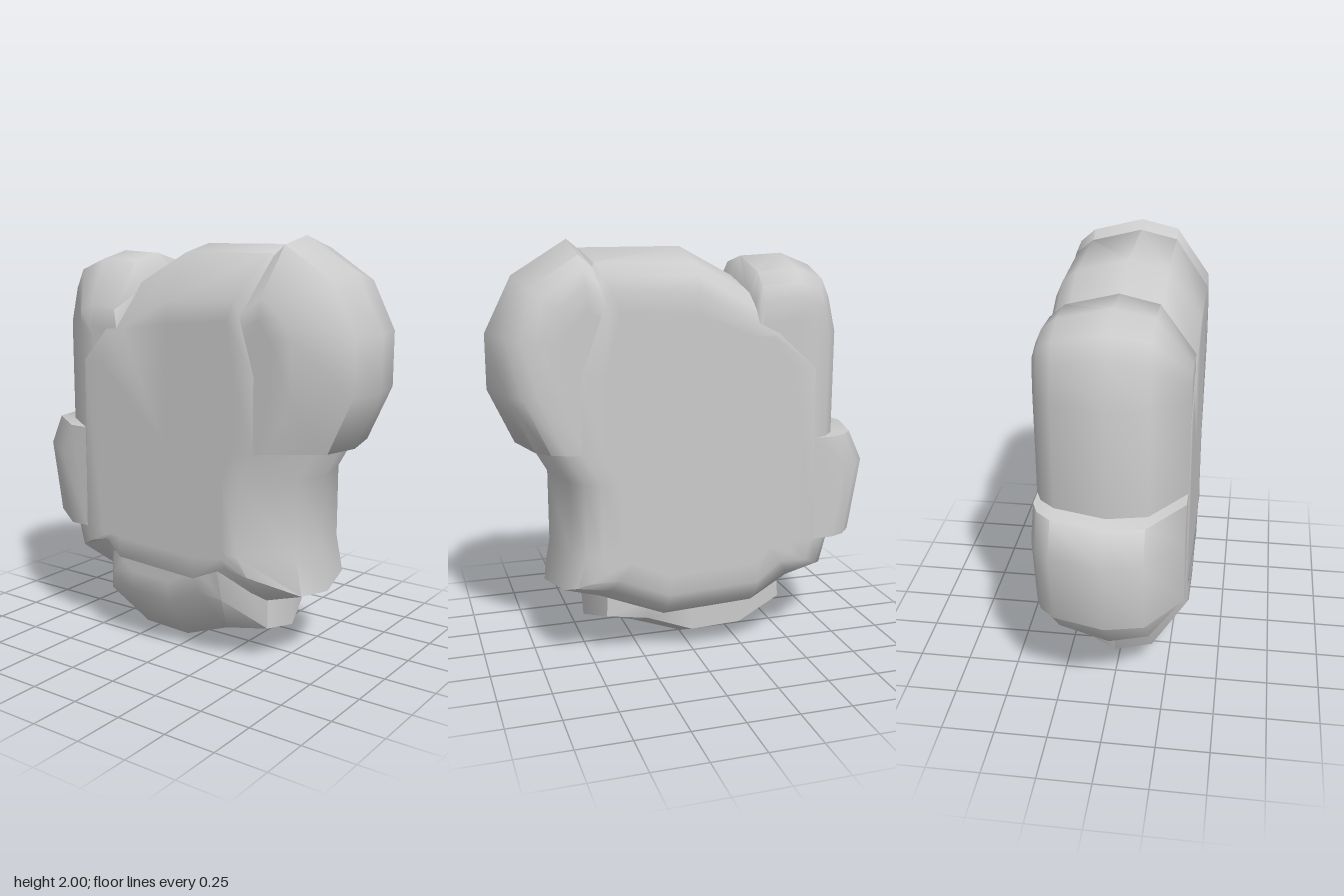
import * as THREE from 'three';
import { toCreasedNormals } from 'three/addons/utils/BufferGeometryUtils.js';

const material = new THREE.MeshStandardMaterial({ color: 0xcccccc });

// Rounded edge profile, front to back: [z, inset from the outline]
const FULL = [[0.34, 0.36], [0.34, 0.26], [0.18, 0.04], [0, 0], [-0.24, 0.06], [-0.31, 0.12], [-0.34, 0.19], [-0.34, 0.29]];
const SHORT = [[0.34, 0.36], [0.34, 0.26], [0.18, 0.04], [0, 0], [-0.225, 0.1], [-0.225, 0.2]];

// Slab with a counterclockwise outline; each ring is drawn in towards an inner box [x0, x1, y0, y1]
function lobe(name, outline, [x0, x1, y0, y1], profile, depth = 1) {
  const n = outline.length, pos = [], idx = [];
  for (const [z, inset] of profile) {
    for (const [x, y] of outline) {
      const dx = THREE.MathUtils.clamp(x, x0, x1) - x;
      const dy = THREE.MathUtils.clamp(y, y0, y1) - y;
      const len = Math.hypot(dx, dy);
      const t = len > 0 ? Math.min(inset, len * 0.95) / len : 0;
      pos.push(x + dx * t, y + dy * t, z * depth);
    }
  }
  for (let r = 0; r < profile.length - 1; r++) {
    for (let i = 0; i < n; i++) {
      const j = (i + 1) % n;
      const a = r * n + i, b = r * n + j, c = a + n, d = b + n;
      idx.push(a, c, b, b, c, d);
    }
  }
  // Front and back caps
  const cx = (x0 + x1) / 2, cy = (y0 + y1) / 2, last = (profile.length - 1) * n;
  const front = pos.length / 3;
  pos.push(cx, cy, profile[0][0] * depth, cx, cy, profile[profile.length - 1][0] * depth);
  for (let i = 0; i < n; i++) {
    const j = (i + 1) % n;
    idx.push(front, i, j, front + 1, last + j, last + i);
  }
  const geo = new THREE.BufferGeometry();
  geo.setAttribute('position', new THREE.Float32BufferAttribute(pos, 3));
  geo.setIndex(idx);
  const mesh = new THREE.Mesh(toCreasedNormals(geo, 1.15), material);
  mesh.name = name;
  return mesh;
}

export function createModel() {
  const group = new THREE.Group();
  group.name = 'lobedBoulder';
  group.add(
    // Main mass
    lobe('core', [
      [-0.72, 0.36], [-0.52, 0.29], [-0.3, 0.17], [0.15, 0.15], [0.5, 0.29], [0.69, 0.36], [0.66, 0.56],
      [0.66, 0.91], [0.74, 1.05], [0.74, 1.4], [0.49, 1.96], [0, 1.96], [-0.26, 1.82],
      [-0.55, 1.66], [-0.76, 1.4], [-0.77, 0.55],
    ], [-0.35, 0.3, 0.55, 1.55], FULL),
    // Upper lobe on the model's left, cut flat below
    lobe('upperLeftLobe', [
      [-0.3, 1.06], [0.5, 1.05], [0.81, 1.06], [0.93, 1.32], [0.93, 1.58], [0.8, 1.84],
      [0.54, 2.0], [0.3, 1.8], [-0.3, 1.5],
    ], [0, 0.5, 1.05, 1.55], FULL, 0.993),
    // Upper lobe on the model's right
    lobe('upperRightLobe', [
      [-0.77, 0.7], [0, 0.7], [-0.2, 1.6], [-0.25, 1.79], [-0.31, 1.91], [-0.52, 1.92],
      [-0.67, 1.86], [-0.72, 1.76], [-0.77, 1.57], [-0.77, 1.06],
    ], [-0.42, -0.3, 0.7, 1.5], FULL, 0.993),
    // Side knob, cut flat above and below
    lobe('sideLobe', [
      [-0.88, 0.55], [0.1, 0.55], [0.1, 1.06], [-0.87, 1.06], [-0.94, 0.91],
    ], [-0.3, 0.1, 0.55, 1.06], FULL, 0.986),
    // Foot, shallower at the back
    lobe('bottomLobe', [
      [-0.52, 0.15], [-0.26, 0.01], [0, 0], [0.25, 0.09], [0.5, 0.15], [0.5, 0.8], [-0.52, 0.8],
    ], [-0.2, 0.15, 0.5, 0.8], SHORT, 0.993),
  );
  return group;
}
